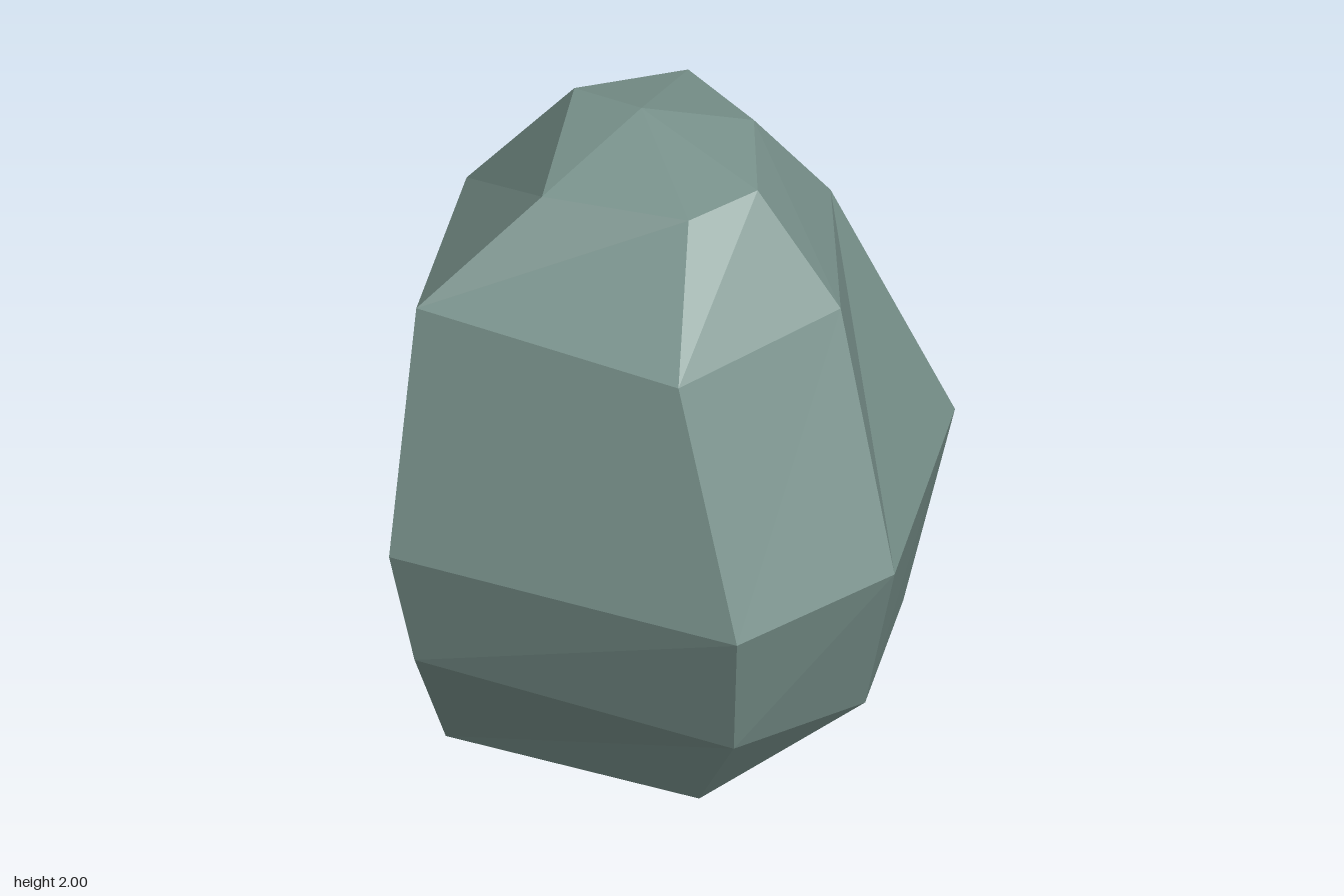
import * as THREE from 'three';

// Six-sided cross-sections from the ground up; corners run front, right, back, left
const RINGS = [
  [[0.065, 0, 0.645], [0.385, 0, 0.22], [0.43, 0, -0.185], [0.115, 0, -0.60], [-0.355, 0, -0.47], [-0.70, 0, 0.267]],
  [[0.165, 0.30, 0.83], [0.58, 0.23, 0.475], [0.72, 0.15, -0.22], [0.25, 0.155, -0.755], [-0.51, 0.24, -0.65], [-0.80, 0.36, 0.39]],
  [[0.17, 0.77, 0.975], [0.665, 0.80, 0.635], [0.88, 0.82, -0.26], [0.24, 0.87, -0.975], [-0.61, 0.795, -0.77], [-0.88, 0.77, 0.44]],
  [[0, 1.53, 0.69], [0.51, 1.575, 0.325], [0.50, 1.60, -0.305], [0.08, 1.58, -0.755], [-0.61, 1.53, -0.52], [-0.79, 1.555, 0.25]],
  [[0.045, 1.87, 0.27], [0.26, 1.915, 0.175], [0.26, 1.945, -0.175], [0.07, 1.91, -0.52], [-0.285, 1.96, -0.35], [-0.40, 1.87, 0.12]],
];
const PEAK = [-0.085, 2, -0.17];
const BASE = [0, 0, 0];

function rockGeometry() {
  const positions = [];
  const triangle = (a, b, c) => positions.push(...a, ...b, ...c);
  const sides = RINGS[0].length;
  const top = RINGS[RINGS.length - 1];

  for (let i = 0; i < sides; i++) {
    const j = (i + 1) % sides;
    // Side facets between neighbouring cross-sections
    for (let r = 0; r < RINGS.length - 1; r++) {
      const low = RINGS[r], high = RINGS[r + 1];
      triangle(low[i], low[j], high[j]);
      triangle(low[i], high[j], high[i]);
    }
    // Faceted crown and flat underside
    triangle(top[i], top[j], PEAK);
    triangle(RINGS[0][j], RINGS[0][i], BASE);
  }

  const geometry = new THREE.BufferGeometry();
  geometry.setAttribute('position', new THREE.Float32BufferAttribute(positions, 3));
  geometry.computeVertexNormals();
  return geometry;
}

export function createModel() {
  const stone = new THREE.MeshStandardMaterial({ color: 0x78918b });
  stone.name = 'greyGreenStone';
  stone.flatShading = true;

  const boulder = new THREE.Mesh(rockGeometry(), stone);
  boulder.name = 'boulder';

  const model = new THREE.Group();
  model.name = 'rock';
  model.add(boulder);
  return model;
}
